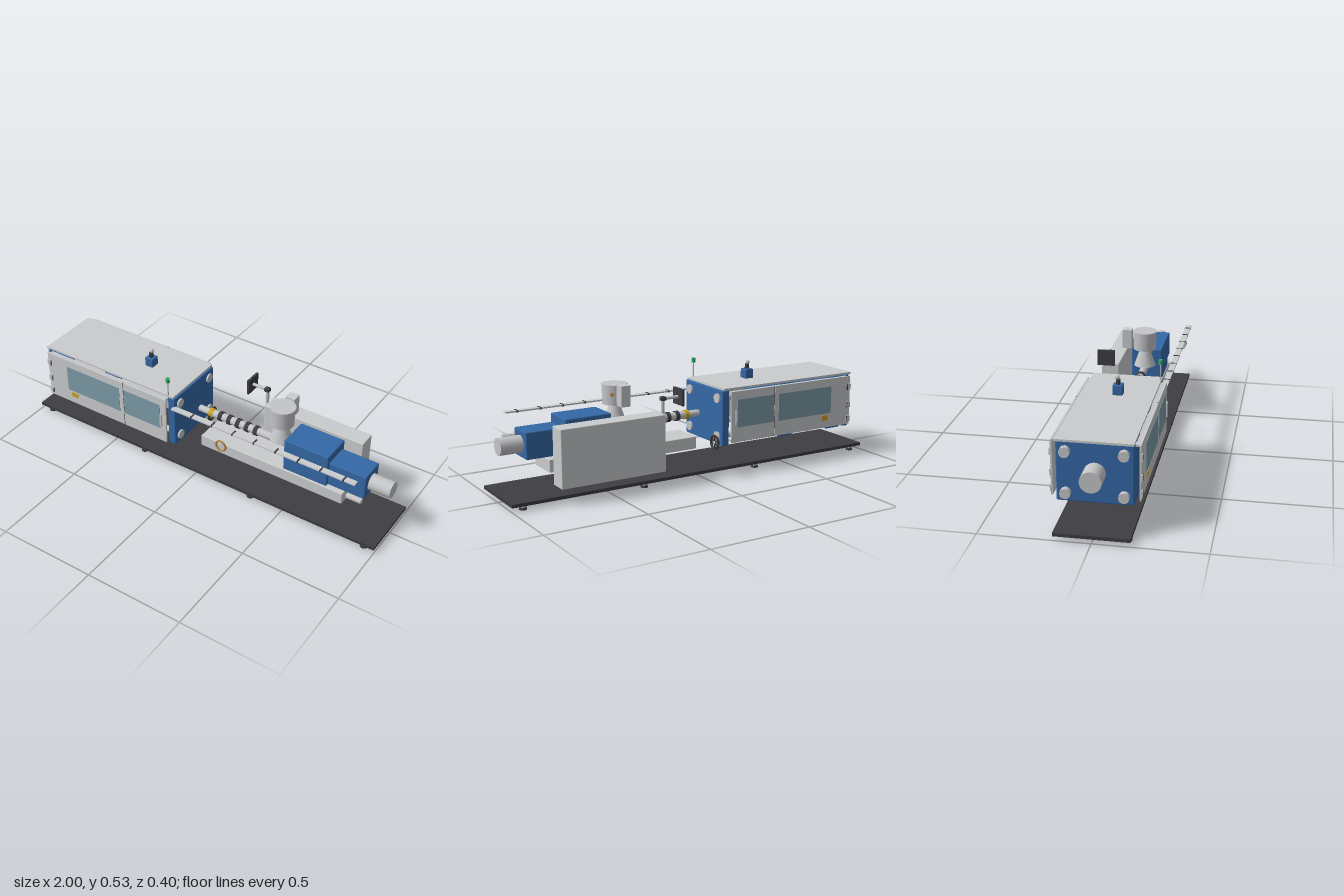
import * as THREE from 'three';
import { RoundedBoxGeometry } from 'three/addons/geometries/RoundedBoxGeometry.js';

const mat = (name, color) => {
  const m = new THREE.MeshStandardMaterial({ color });
  m.name = name;
  return m;
};

export function createModel() {
  const root = new THREE.Group();
  root.name = 'mouldingMachine';
  const blue = mat('machine blue', 0x3568a6);
  const light = mat('light grey panel', 0xcacccd);
  const steel = mat('steel', 0xc4c5c8);
  const dark = mat('dark grey', 0x3e3e43);
  const glass = mat('window glass', 0x7d9ba8);
  const yellow = mat('label yellow', 0xd0a021);
  const copper = mat('copper', 0xb98545);
  const green = mat('signal green', 0x35b065);

  const add = (name, geo, m, x, y, z, parent = root) => {
    const mesh = new THREE.Mesh(geo, m);
    mesh.name = name;
    mesh.position.set(x, y, z);
    parent.add(mesh);
    return mesh;
  };
  // Box given by its limits on each axis, optionally with rounded edges
  const box = (name, m, [x0, x1], [y0, y1], [z0, z1], r = 0, parent = root) => {
    const s = [x1 - x0, y1 - y0, z1 - z0];
    const geo = r ? new RoundedBoxGeometry(...s, 2, r) : new THREE.BoxGeometry(...s);
    return add(name, geo, m, (x0 + x1) / 2, (y0 + y1) / 2, (z0 + z1) / 2, parent);
  };
  // Cylinder lying along x
  const rod = (name, m, x0, x1, y, z, r, sides = 24) => {
    const geo = new THREE.CylinderGeometry(r, r, x1 - x0, sides).rotateZ(Math.PI / 2);
    return add(name, geo, m, (x0 + x1) / 2, y, z);
  };
  // Upright cylinder or cone
  const post = (name, m, x, z, y0, y1, rBottom, rTop = rBottom, sides = 24) =>
    add(name, new THREE.CylinderGeometry(rTop, rBottom, y1 - y0, sides), m, x, (y0 + y1) / 2, z);

  // Base plate on levelling feet
  box('basePlate', dark, [-1, 1], [0.02, 0.036], [-0.168, 0.168]);
  for (const x of [-0.94, -0.32, 0.32, 0.94]) for (const z of [-0.147, 0.147]) {
    post('footPad', dark, x, z, 0, 0.009, 0.018);
    post('footStem', steel, x, z, 0.009, 0.02, 0.007);
  }

  // Clamp unit: platens, tie bars, nuts and roof
  for (const [a, b] of [[-0.905, -0.87], [-0.85, -0.76], [-0.54, -0.455], [-0.15, -0.109]])
    box('platen', blue, [a, b], [0.143, 0.42], [-0.168, 0.168], 0.006);
  for (const y of [0.186, 0.377]) for (const z of [-0.126, 0.126]) {
    rod('tieBar', steel, -0.9, -0.12, y, z, 0.015);
    rod('rearNut', steel, -0.93, -0.904, y, z, 0.024, 12);
    rod('frontNut', steel, -0.11, -0.1, y, z, 0.024, 12);
  }
  box('roof', light, [-0.914, -0.118], [0.42, 0.43], [-0.168, 0.168]);
  rod('clampMotor', steel, -1, -0.9, 0.283, 0, 0.048);

  // Toggle links between rear and moving platens
  for (const s of [-1, 1]) for (const z of [-0.07, 0.07]) {
    const link = box('toggleLink', steel, [-0.77, -0.53], [-0.012, 0.012], [z - 0.015, z + 0.015]);
    link.position.y = 0.28 + s * 0.06;
    link.rotation.z = s * 0.25;
  }

  // Sliding guards on both sides
  for (const s of [1, -1]) {
    const guard = new THREE.Group();
    guard.name = s > 0 ? 'frontGuard' : 'backGuard';
    root.add(guard);
    const plate = (name, m, xs, ys, z0, z1) =>
      box(name, m, xs, ys, s > 0 ? [z0, z1] : [-z1, -z0], 0, guard);
    for (const [a, b, w0, w1] of [[-0.89, -0.407, -0.765, -0.43], [-0.403, -0.145, -0.4, -0.18]]) {
      plate('door', light, [a, b], [0.16, 0.416], 0.186, 0.194);
      plate('window', glass, [w0, w1], [0.235, 0.375], 0.193, 0.196);
    }
    plate('doorGap', dark, [-0.407, -0.403], [0.16, 0.416], 0.186, 0.192);
    plate('label', yellow, [-0.745, -0.705], [0.198, 0.225], 0.193, 0.197);
    plate('handle', steel, [-0.178, -0.168], [0.25, 0.325], 0.194, 0.202);
    for (const y of [0.19, 0.265, 0.36]) {
      plate('hinge', steel, [-0.892, -0.868], [y - 0.015, y + 0.015], 0.193, 0.199);
      plate('hingePin', dark, [-0.872, -0.868], [y - 0.015, y + 0.015], 0.194, 0.2);
    }
    plate('topTrack', steel, [-0.88, -0.15], [0.405, 0.414], 0.166, 0.187);
  }

  // Roof lubricator and signal lamp
  box('lubricator', blue, [-0.392, -0.346], [0.43, 0.478], [-0.024, 0.024], 0.004);
  post('lubricatorNeck', dark, -0.369, 0, 0.478, 0.502, 0.011);
  add('lubricatorKnob', new THREE.SphereGeometry(0.011, 16, 12), steel, -0.369, 0.511, -0.004);
  post('lampPole', steel, -0.15, 0.163, 0.425, 0.506, 0.0035, 0.0035, 12);
  post('signalLamp', green, -0.15, 0.163, 0.505, 0.528, 0.01);

  // Handwheel on the fixed platen
  add('handwheel', new THREE.TorusGeometry(0.033, 0.006, 10, 28).rotateY(Math.PI / 2), dark, -0.09, 0.157, -0.13);
  rod('handwheelHub', steel, -0.11, -0.086, 0.157, -0.13, 0.008);
  for (let i = 0; i < 3; i++) {
    const spoke = add('handwheelSpoke', new THREE.BoxGeometry(0.005, 0.064, 0.006), dark, -0.09, 0.157, -0.13);
    spoke.rotation.x = i * Math.PI / 3;
  }

  // Cable rail with joints
  box('cableRail', light, [-0.118, 0.88], [0.367, 0.374], [0.158, 0.188]);
  for (let i = 0; i < 8; i++) {
    const x = i * 0.1175;
    box('railJoint', dark, [x - 0.004, x + 0.004], [0.366, 0.3755], [0.157, 0.189]);
  }

  // Injection bed
  box('bed', light, [-0.015, 0.775], [0.125, 0.187], [-0.08, 0.08], 0.004);
  box('bedKey', light, [0.1, 0.66], [0.119, 0.126], [-0.022, 0.022]);

  // Barrel, nozzle and heater bands
  rod('barrel', steel, -0.01, 0.46, 0.283, 0, 0.02);
  rod('nozzle', steel, -0.075, -0.01, 0.283, 0, 0.017);
  rod('nozzleRing', yellow, -0.012, 0.01, 0.283, 0, 0.023);
  for (let i = 0; i < 5; i++) {
    const x = 0.053 + i * 0.051;
    rod('heaterBand', dark, x - 0.01, x + 0.01, 0.283, 0, 0.025);
  }

  // Injection housings and drives
  box('injectionHousing', blue, [0.455, 0.69], [0.193, 0.365], [-0.08, 0.08], 0.006);
  box('driveHousing', blue, [0.685, 0.88], [0.196, 0.325], [-0.065, 0.065], 0.006);
  rod('screwMotor', steel, 0.875, 0.99, 0.26, 0, 0.041);
  rod('sideCylinder', steel, 0.83, 0.905, 0.26, 0.148, 0.014);
  add('hoseLoop', new THREE.TorusGeometry(0.027, 0.005, 10, 32), copper, 0.145, 0.236, 0.147);

  // Hopper and its feeder
  post('hopperNeck', steel, 0.395, 0, 0.3, 0.392, 0.056, 0.024);
  post('hopperBowl', steel, 0.395, 0, 0.39, 0.482, 0.058, 0.06, 32);
  post('hopperLid', steel, 0.395, 0, 0.481, 0.487, 0.063, 0.063, 32);
  const glassDisc = add('sightGlass', new THREE.CylinderGeometry(0.01, 0.01, 0.008, 20).rotateZ(Math.PI / 2),
    copper, 0.431, 0.443, -0.047);
  glassDisc.rotation.y = 0.92;
  box('feeder', light, [0.37, 0.418], [0.393, 0.493], [-0.115, -0.067]);

  // Control cabinet
  box('cabinet', light, [0.23, 0.77], [0.075, 0.353], [-0.199, -0.11], 0.003);
  box('cabinetPlate', light, [0.3, 0.34], [0.19, 0.238], [-0.111, -0.104]);
  const button = add('cabinetButton', new THREE.CylinderGeometry(0.004, 0.004, 0.01, 12), green, 0.322, 0.112, -0.105);
  button.rotation.x = Math.PI / 2;

  // Operator panel on a swing arm
  box('operatorPanel', dark, [0.126, 0.137], [0.381, 0.461], [-0.199, -0.112]);
  rod('panelArm', steel, 0.136, 0.22, 0.42, -0.154, 0.008, 16);
  post('panelPole', steel, 0.22, -0.154, 0.34, 0.412, 0.009, 0.009, 16);
  box('armJoint', dark, [0.206, 0.232], [0.411, 0.43], [-0.167, -0.141], 0.003);
  return root;
}
